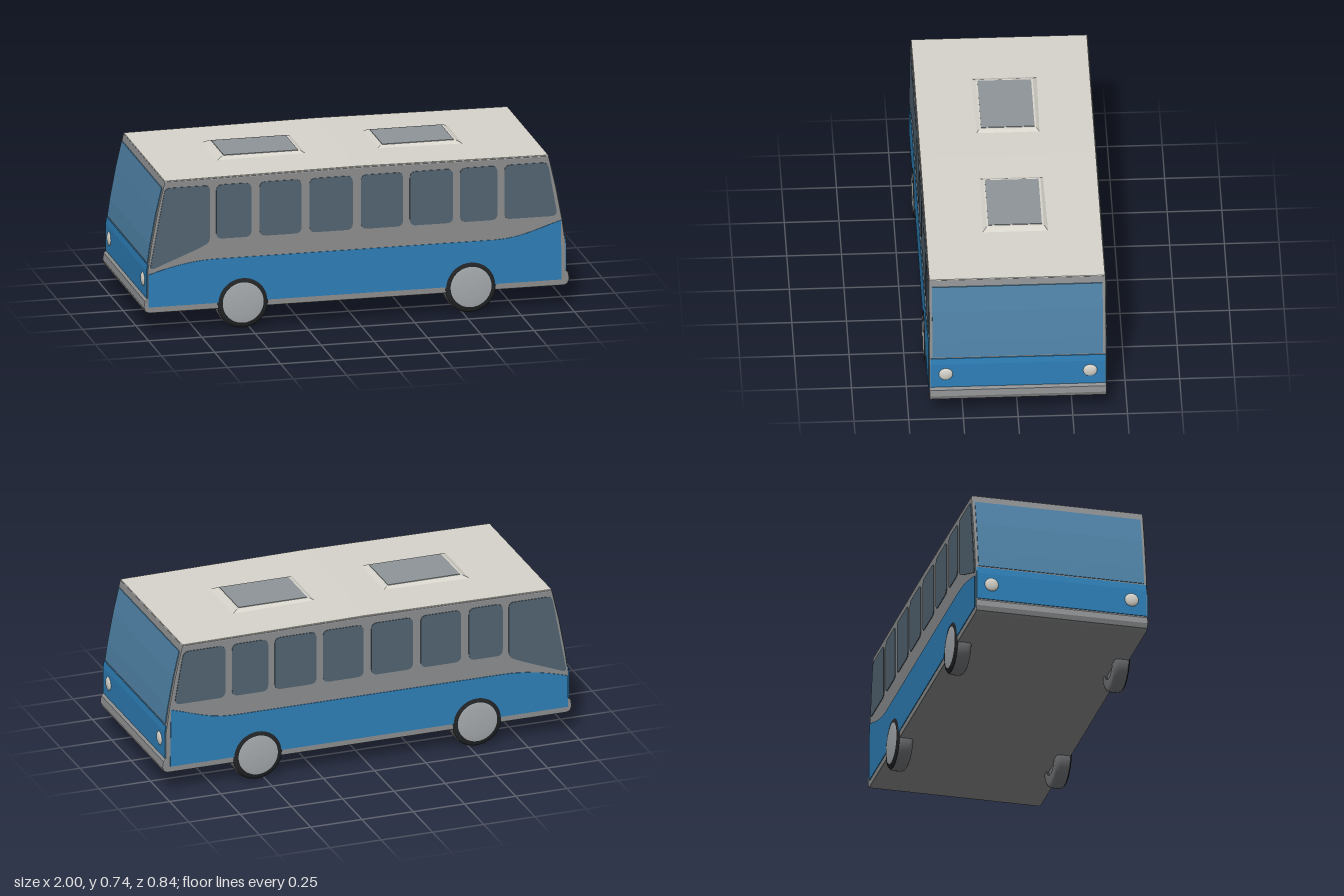
import * as THREE from 'three';

const mat = (name, color, side = THREE.FrontSide) => {
  const m = new THREE.MeshStandardMaterial({ color, side });
  m.name = name;
  return m;
};

const HALF = 0.405; // half width of the body
// one end of the side profile, bottom to top
const END = [[0.975, 0.1], [0.992, 0.108], [1, 0.13], [0.995, 0.16], [0.982, 0.172],
  [0.982, 0.3], [0.965, 0.42], [0.937, 0.57], [0.902, 0.722]];

// x of the end wall at height y
function endX(y) {
  const i = END.findIndex((p, k) => k > 0 && y <= p[1]);
  const [x0, y0] = END[i - 1], [x1, y1] = END[i];
  return x0 + (x1 - x0) * (y - y0) / (y1 - y0);
}

const toShape = (pts) => new THREE.Shape(pts.map(([x, y]) => new THREE.Vector2(x, y)));

// polygon with rounded corners
function roundedShape(pts, r) {
  const s = new THREE.Shape();
  const v = pts.map(([x, y]) => new THREE.Vector2(x, y));
  v.forEach((p, i) => {
    const prev = v[(i + v.length - 1) % v.length], next = v[(i + 1) % v.length];
    const a = prev.clone().sub(p).setLength(r).add(p);
    const b = next.clone().sub(p).setLength(r).add(p);
    if (i === 0) s.moveTo(a.x, a.y); else s.lineTo(a.x, a.y);
    s.quadraticCurveTo(p.x, p.y, b.x, b.y);
  });
  s.closePath();
  return s;
}

// flat plate of given depth, centred on z
const slab = (shape, depth, z = 0) =>
  new THREE.ExtrudeGeometry(shape, { depth, bevelEnabled: false, curveSegments: 6 })
    .translate(0, 0, z - depth / 2);

// thin skin following the end wall between two heights
function endSkin(y0, y1, halfWidth, sign) {
  const ys = [y0, ...END.map((p) => p[1]).filter((y) => y > y0 && y < y1), y1];
  const outer = ys.map((y) => [sign * (endX(y) + 0.004), y]);
  const inner = ys.map((y) => [sign * (endX(y) - 0.004), y]).reverse();
  return slab(toShape([...outer, ...inner]), halfWidth * 2);
}

export function createModel() {
  const bus = new THREE.Group();
  bus.name = 'bus';
  const grey = mat('body grey', 0x8e8f90);
  const white = mat('roof white', 0xd6d4cb);
  const blue = mat('paint blue', 0x2e80b9);
  const sideGlass = mat('side glass', 0x536573);
  const endGlass = mat('end glass', 0x4f82a6);
  const hatchGrey = mat('hatch grey', 0x8f959a);
  const black = mat('tyre black', 0x222426);
  const hubGrey = mat('hub grey', 0xa6abae);
  const treadGrey = mat('tread grey', 0x77797b, THREE.DoubleSide);

  const add = (name, geometry, material, parent = bus) => {
    const mesh = new THREE.Mesh(geometry, material);
    mesh.name = name;
    parent.add(mesh);
    return mesh;
  };

  // Body shell with softened side edges
  const profile = [...END, [0, 0.73], ...END.map(([x, y]) => [-x, y]).reverse()];
  const bevel = 0.006;
  add('body', new THREE.ExtrudeGeometry(toShape(profile), {
    depth: 2 * (HALF - bevel), bevelThickness: bevel, bevelSize: bevel,
    bevelOffset: -bevel, bevelSegments: 2,
  }).translate(0, 0, bevel - HALF), grey);

  // White roof skin
  add('roof', slab(toShape([[-0.902, 0.718], [0.902, 0.718], [0.9, 0.725], [0, 0.734], [-0.9, 0.725]]),
    2 * HALF - 0.008), white);

  // Roof pads with sloping rims, and hatches on top
  for (const [x0, x1] of [[-0.555, -0.205], [0.19, 0.525]]) {
    const cx = (x0 + x1) / 2, w = x1 - x0;
    const pad = new THREE.BoxGeometry(w + 0.1, 0.02, 0.32);
    const p = pad.attributes.position;
    for (let i = 0; i < p.count; i++) {
      if (p.getY(i) > 0) p.setXYZ(i, p.getX(i) * (w + 0.02) / (w + 0.1), p.getY(i), p.getZ(i) * 0.82);
    }
    pad.computeVertexNormals();
    add('roofPad', pad, white).position.set(cx, 0.731, -0.008);
    add('roofHatch', new THREE.BoxGeometry(w, 0.004, 0.245), hatchGrey).position.set(cx, 0.7415, -0.008);
  }

  // Blue side band, sweeping down at one end and up at the other
  const band = new THREE.Shape();
  band.moveTo(-0.978, 0.13);
  band.lineTo(0.962, 0.13);
  band.lineTo(0.958, 0.412);
  band.bezierCurveTo(0.86, 0.385, 0.77, 0.34, 0.65, 0.34);
  band.lineTo(-0.66, 0.34);
  band.bezierCurveTo(-0.78, 0.34, -0.88, 0.315, -0.978, 0.285);
  band.closePath();

  // Side windows: slanted end panes and six upright ones
  const panes = [
    roundedShape([[-0.972, 0.305], [-0.9, 0.692], [-0.69, 0.692], [-0.69, 0.42], [-0.76, 0.388]], 0.025),
    roundedShape([[0.693, 0.435], [0.942, 0.435], [0.897, 0.692], [0.693, 0.692]], 0.03),
  ];
  for (const [a, b] of [[-0.66, -0.495], [-0.457, -0.26], [-0.222, -0.019],
    [0.019, 0.217], [0.249, 0.452], [0.484, 0.66]]) {
    panes.push(roundedShape([[a, 0.435], [b, 0.435], [b, 0.692], [a, 0.692]], 0.03));
  }
  for (const z of [-HALF, HALF]) {
    add('sideBand', slab(band, 0.006, z), blue);
    panes.forEach((pane) => add('sideWindow', slab(pane, 0.006, z), sideGlass));
  }

  // Both ends: windscreen, blue panel and lamps
  for (const sign of [-1, 1]) {
    add('windscreen', endSkin(0.338, 0.69, 0.39, sign), endGlass);
    add('endPanel', endSkin(0.172, 0.331, 0.4, sign), blue);
    for (const z of [-0.33, 0.33]) {
      const lamp = add('lamp', new THREE.SphereGeometry(0.033, 20, 12), white);
      lamp.scale.x = 0.35;
      lamp.position.set(sign * 0.984, 0.246, z);
    }
  }

  // Wheels: grey tread, black sidewall and domed hub
  const toPoints = (pts) => pts.map(([r, y]) => new THREE.Vector2(r, y));
  const tread = new THREE.LatheGeometry(toPoints(
    [[0.07, -0.035], [0.11, -0.035], [0.121, -0.028], [0.125, -0.015], [0.125, 0.02], [0.12, 0.031]]), 40);
  const sidewall = new THREE.LatheGeometry(toPoints([[0.12, 0.031], [0.114, 0.037], [0.096, 0.041]]), 40);
  const hub = new THREE.LatheGeometry(toPoints([[0.096, 0.041], [0.085, 0.043], [0.05, 0.046], [0, 0.047]]), 40);
  const innerDisc = new THREE.CylinderGeometry(0.075, 0.075, 0.05, 32);
  for (const x of [-0.535, 0.535]) {
    for (const side of [-1, 1]) {
      const wheel = new THREE.Group();
      wheel.name = 'wheel';
      add('tread', tread, treadGrey, wheel);
      add('sidewall', sidewall, black, wheel);
      add('hub', hub, hubGrey, wheel);
      add('innerDisc', innerDisc, treadGrey, wheel);
      wheel.rotation.x = side * Math.PI / 2;
      wheel.position.set(x, 0.125, side * 0.372);
      bus.add(wheel);
    }
  }
  return bus;
}
